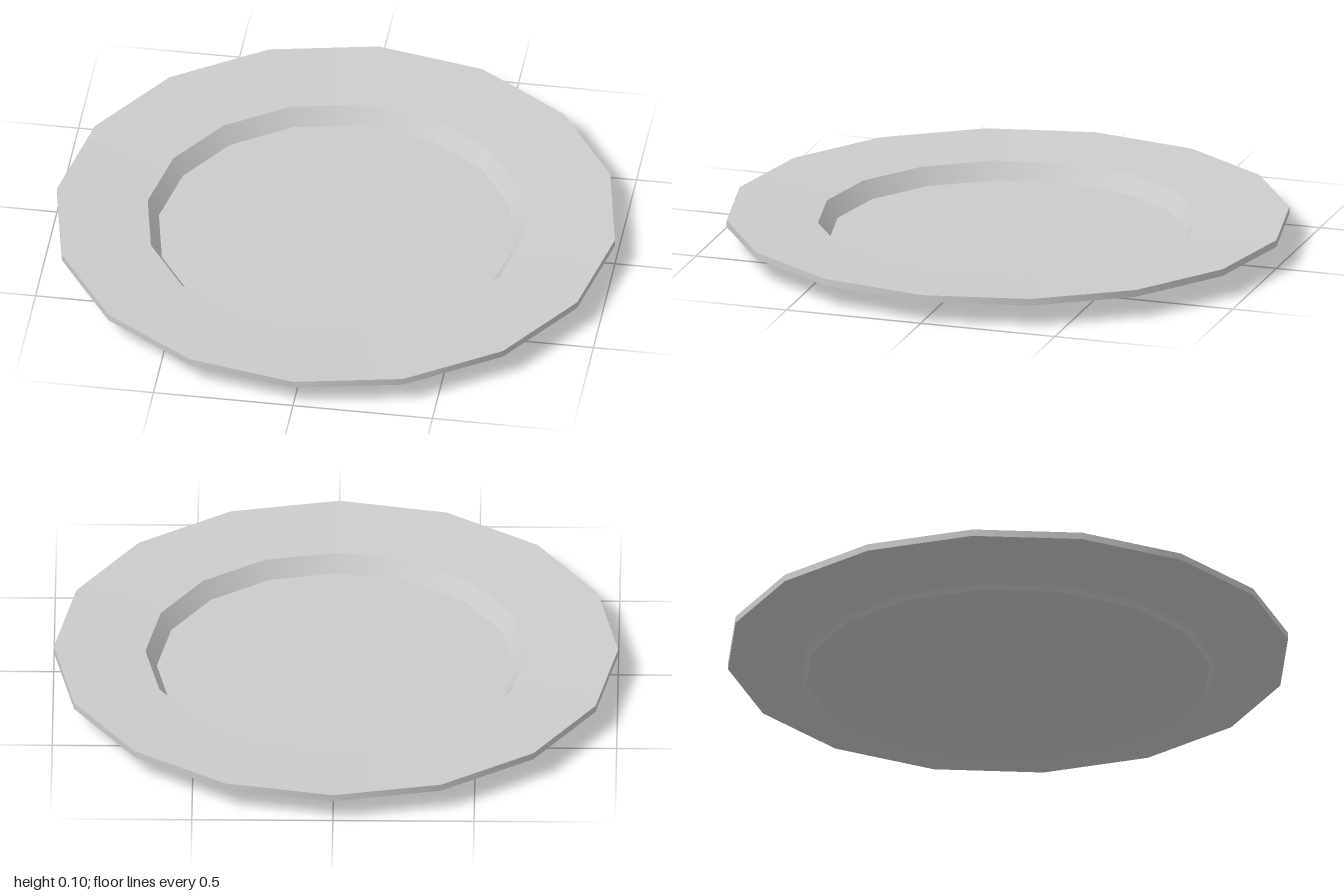
import * as THREE from 'three';

const SIDES = 16;

// Profile bands as [radius, height], from the base outward, over the rim and into the well.
// Each band is smooth around the plate; the joins between bands stay sharp.
const BANDS = {
  base: [[0, 0], [0.72, 0]],
  underside: [[0.72, 0], [0.75, 0.028], [1, 0.08]],
  rimEdge: [[1, 0.08], [1, 0.105]],
  rimTop: [[1, 0.105], [0.675, 0.088]],
  wellWall: [[0.675, 0.088], [0.635, 0.027]],
  wellFloor: [[0.635, 0.027], [0, 0.027]],
};

export function createModel() {
  const plate = new THREE.Group();
  plate.name = 'plate';

  const ceramic = new THREE.MeshStandardMaterial({ color: 0xcccccc });
  ceramic.name = 'light grey ceramic';

  for (const [name, profile] of Object.entries(BANDS)) {
    const points = profile.map(([r, y]) => new THREE.Vector2(r, y));
    const mesh = new THREE.Mesh(new THREE.LatheGeometry(points, SIDES), ceramic);
    mesh.name = name;
    plate.add(mesh);
  }
  return plate;
}
